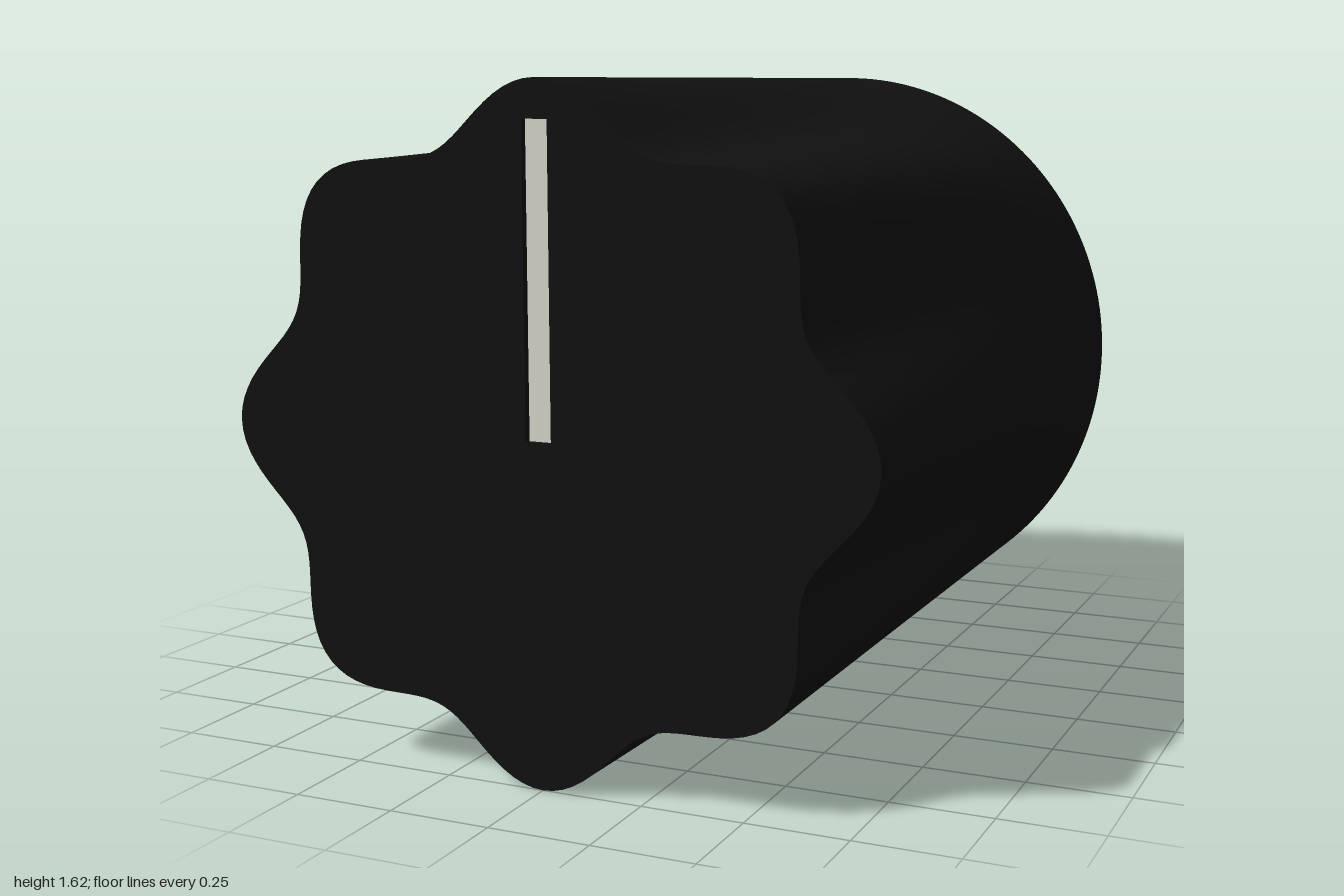
import * as THREE from 'three';

const R = 0.81, VALLEY = 0.695, LOBES = 8, SEG = 192, RINGS = 16;
const BORE_R = 0.41, BORE_DEPTH = 1.6, SLOT = 0.02;

// radius of the lobed outline at an angle; t = 0 round back, t = 1 fully fluted front
function radiusAt(angle, t) {
  const dip = (R - VALLEY) * 0.5 * (1 - Math.cos(LOBES * angle));
  return R - dip * t;
}

// loft from a circle to the lobed outline along z
function flutedSide() {
  const pos = [], idx = [];
  for (let j = 0; j <= RINGS; j++) {
    const t = j / RINGS;
    for (let i = 0; i < SEG; i++) {
      const a = (i / SEG) * Math.PI * 2, r = radiusAt(a, t);
      pos.push(r * Math.cos(a), r * Math.sin(a), -1 + 2 * t);
    }
  }
  for (let j = 0; j < RINGS; j++) {
    for (let i = 0; i < SEG; i++) {
      const n = (i + 1) % SEG;
      const a = j * SEG + i, b = j * SEG + n, c = a + SEG, d = b + SEG;
      idx.push(a, b, d, a, d, c);
    }
  }
  const g = new THREE.BufferGeometry();
  g.setAttribute('position', new THREE.Float32BufferAttribute(pos, 3));
  g.setIndex(idx);
  g.computeVertexNormals();
  return g;
}

export function createModel() {
  const black = new THREE.MeshStandardMaterial({ color: 0x111111 });
  const blackInside = new THREE.MeshStandardMaterial({ color: 0x111111, side: THREE.DoubleSide });
  const ivory = new THREE.MeshStandardMaterial({ color: 0xd9d8cc });

  const knob = new THREE.Group();
  knob.name = 'knob';
  knob.position.y = R;
  const add = (name, geometry, material) => {
    const mesh = new THREE.Mesh(geometry, material);
    mesh.name = name;
    knob.add(mesh);
    return mesh;
  };

  add('flutedSide', flutedSide(), black);

  // front cap with a shallow slot for the pointer
  const outline = [];
  for (let i = 0; i < SEG; i++) {
    const a = (i / SEG) * Math.PI * 2, r = radiusAt(a, 1);
    outline.push(new THREE.Vector2(r * Math.cos(a), r * Math.sin(a)));
  }
  const cap = new THREE.Shape(outline);
  const w = 0.032, h = 0.72;
  cap.holes.push(new THREE.Path([[-w, 0], [-w, h], [w, h], [w, 0]].map(p => new THREE.Vector2(...p))));
  add('frontCap', new THREE.ExtrudeGeometry(cap, { depth: SLOT, bevelEnabled: false }), black)
    .position.z = 1 - SLOT;

  // pale pointer line at the bottom of the slot
  add('pointerLine', new THREE.BoxGeometry(2 * w, h, 0.02), ivory)
    .position.set(0, h / 2, 1 - SLOT - 0.008);

  // back face and blind shaft bore
  const back = add('backFace', new THREE.RingGeometry(BORE_R, R, SEG), black);
  back.rotation.y = Math.PI;
  back.position.z = -1;

  const bore = add('shaftBore', new THREE.CylinderGeometry(BORE_R, BORE_R, BORE_DEPTH, 96, 1, true), blackInside);
  bore.rotation.x = Math.PI / 2;
  bore.position.z = -1 + BORE_DEPTH / 2;

  const end = add('boreEnd', new THREE.CircleGeometry(BORE_R, 96), black);
  end.rotation.y = Math.PI;
  end.position.z = -1 + BORE_DEPTH;

  const model = new THREE.Group();
  model.name = 'controlKnob';
  model.add(knob);
  return model;
}
